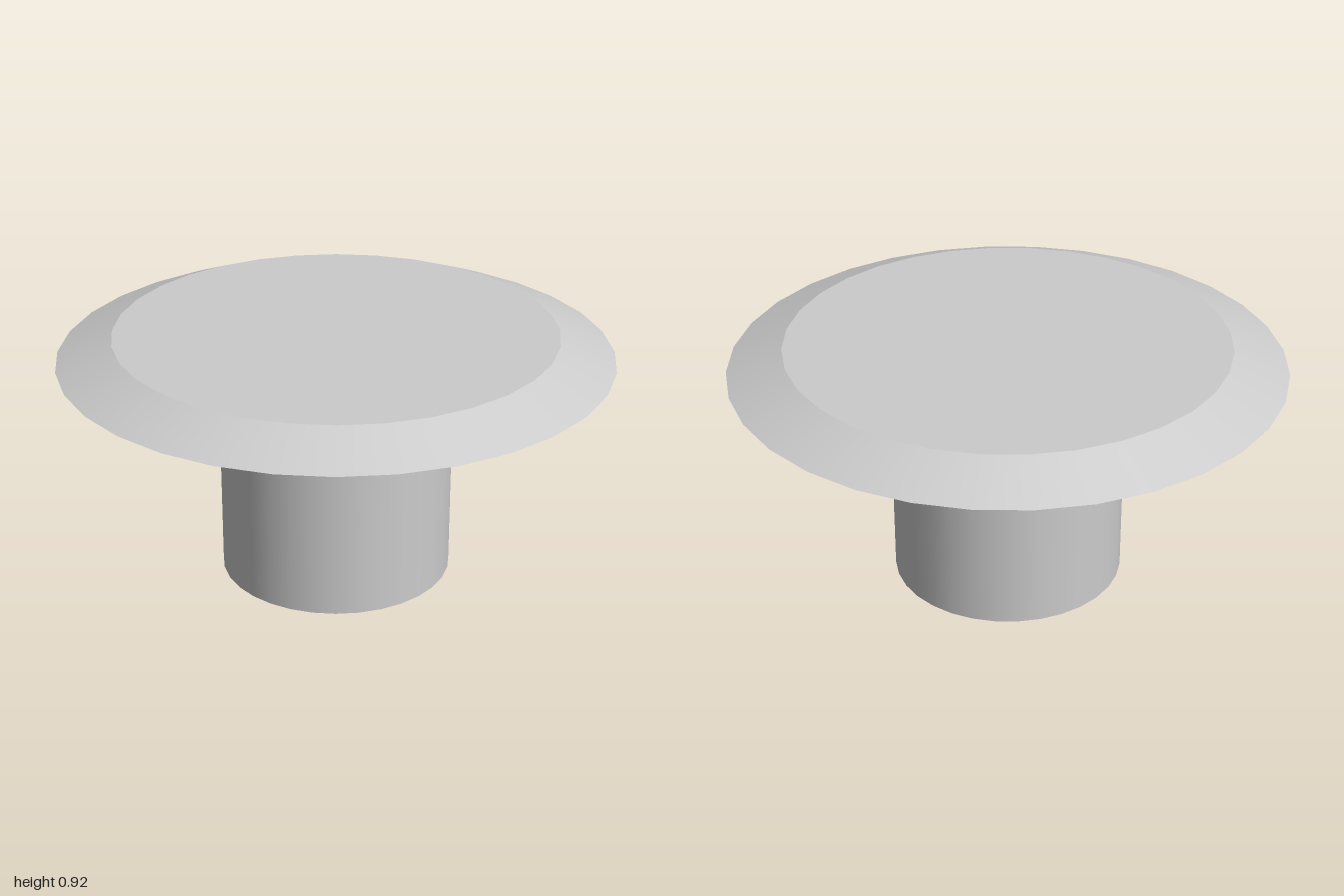
import * as THREE from 'three';

const SIDES = 32;

export function createModel() {
  const model = new THREE.Group();
  const add = (name, geometry, y, side) => {
    const material = new THREE.MeshStandardMaterial({ color: 0xcccccc, side });
    const mesh = new THREE.Mesh(geometry, material);
    mesh.name = name;
    mesh.position.y = y;
    model.add(mesh);
  };

  // Wide disc with a sloping rim and a flat underside
  const bottom = 0.837, top = 0.92;
  add('bevelledCap', new THREE.CylinderGeometry(0.8, 1, top - bottom, SIDES),
    (top + bottom) / 2, THREE.FrontSide);

  // Thin hollow stem, open at the foot
  add('hollowStem', new THREE.CylinderGeometry(0.425, 0.425, bottom, SIDES, 1, true),
    bottom / 2, THREE.DoubleSide);

  return model;
}
